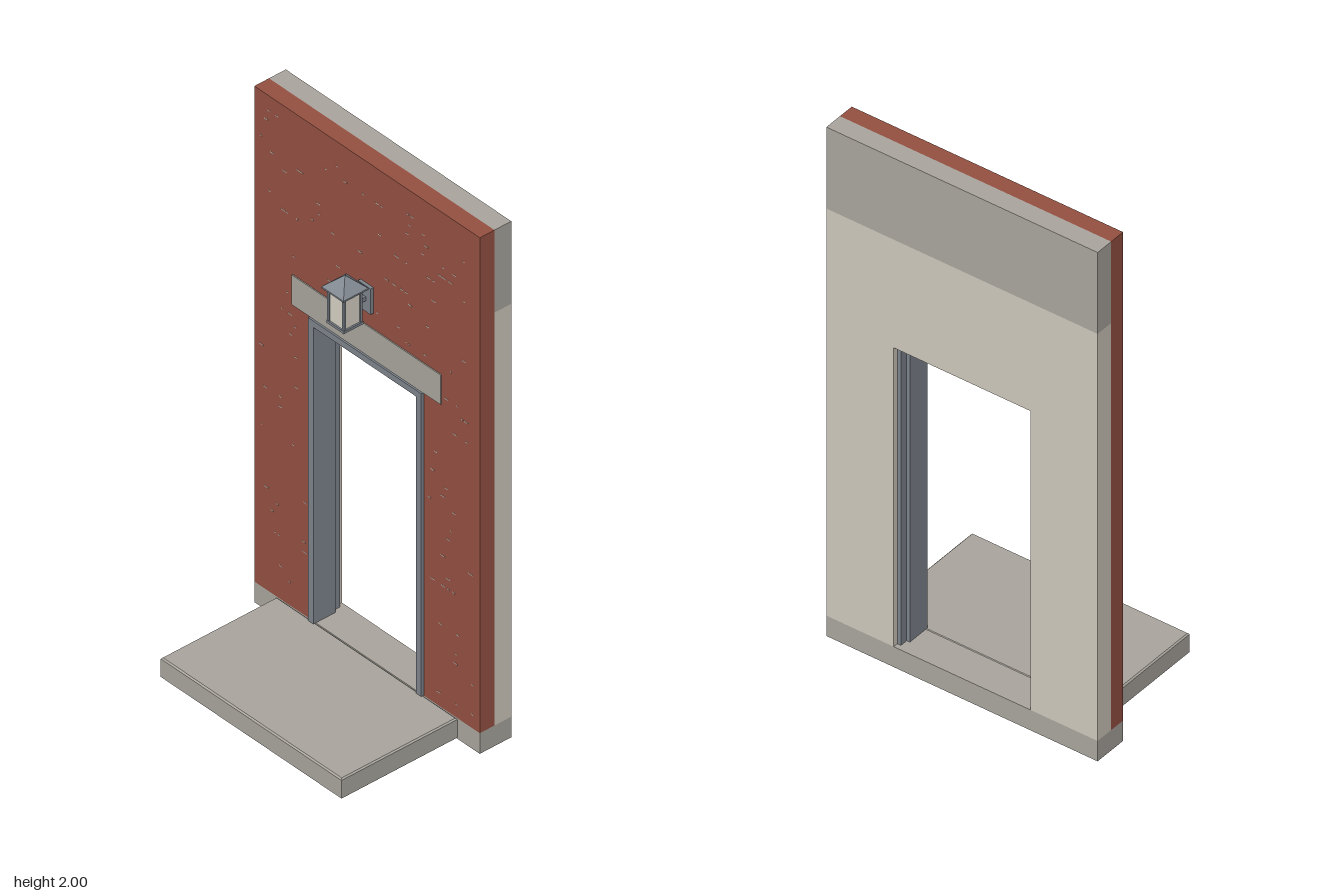
import * as THREE from 'three';
import { mergeGeometries } from 'three/addons/utils/BufferGeometryUtils.js';

const material = (name, color) => {
  const m = new THREE.MeshStandardMaterial({ color });
  m.name = name;
  return m;
};

export function createModel() {
  const brick = material('brick red', 0x955142);
  const mortar = material('mortar', 0xb9aea2);
  const concrete = material('concrete grey', 0xaaa69f);
  const plaster = material('warm plaster', 0xcfc9bd);
  const metal = material('painted metal', 0x7f868e);
  const glass = material('frosted glass', 0xd8d3c6);

  const model = new THREE.Group();
  model.name = 'entranceWall';

  const add = (name, geometry, mat, parent = model) => {
    const mesh = new THREE.Mesh(geometry, mat);
    mesh.name = name;
    parent.add(mesh);
    return mesh;
  };
  // Box given by its minimum and maximum along each axis
  const boxGeo = (x0, x1, y0, y1, z0, z1) =>
    new THREE.BoxGeometry(x1 - x0, y1 - y0, z1 - z0)
      .translate((x0 + x1) / 2, (y0 + y1) / 2, (z0 + z1) / 2);
  const box = (name, mat, ...b) => add(name, boxGeo(...b), mat);
  // Upside-down U around the doorway: outer half width and top, inner half width and top
  const archGeo = (ow, ot, iw, it, z0, z1) => {
    const y0 = 0.08;
    const shape = new THREE.Shape([
      [-ow, y0], [-iw, y0], [-iw, it], [iw, it], [iw, y0], [ow, y0], [ow, ot], [-ow, ot],
    ].map(([x, y]) => new THREE.Vector2(x, y)));
    return new THREE.ExtrudeGeometry(shape, { depth: z1 - z0, bevelEnabled: false })
      .translate(0, 0, z0);
  };

  const W = 0.53, back = -0.307, mid = -0.237, front = -0.176;
  const doorW = 0.267, doorTop = 1.255;

  // Wall layers
  box('foundation', concrete, -W, W, 0, 0.08, back, front);
  add('brickWall', archGeo(W, 2, doorW, doorTop, mid, front), brick);
  add('innerWall', archGeo(W, 1.68, doorW, doorTop, back, mid), plaster);
  box('ringBeam', concrete, -W, W, 1.68, 2, back, mid);
  box('lintel', concrete, -0.35, 0.35, doorTop, 1.37, front - 0.02, front + 0.004);

  // Sparse mortar flecks along the brick courses
  let seed = 7;
  const rand = () => (seed = (seed * 16807) % 2147483647) / 2147483647;
  const flecks = [];
  for (let i = 0; i < 190; i++) {
    const y = 0.13 + Math.floor(rand() * 48) * 0.0385;
    const x = (rand() * 2 - 1) * 0.5;
    const w = 0.006 + rand() * 0.014;
    if (y < 1.39 && Math.abs(x) < (y > 1.24 ? 0.37 : 0.285)) continue;
    flecks.push(boxGeo(x - w / 2, x + w / 2, y, y + 0.004, front - 0.001, front + 0.0006));
  }
  add('mortarFlecks', mergeGeometries(flecks), mortar);

  // Door frame with a rebate towards the inside
  add('doorFrame', archGeo(doorW - 0.001, doorTop - 0.001, 0.241, 1.23, -0.258, -0.166), metal);
  add('doorFrameRebate', archGeo(doorW - 0.001, doorTop - 0.001, 0.253, 1.242, -0.288, -0.258), metal);

  // Doorstep with a small chamfer
  const c = 0.005;
  const sw = 0.425 - c, sz0 = front + c, sz1 = 0.306 - c;
  const slab = new THREE.Shape([
    new THREE.Vector2(-sw, -sz1), new THREE.Vector2(sw, -sz1),
    new THREE.Vector2(sw, -sz0), new THREE.Vector2(-sw, -sz0),
  ]);
  const step = new THREE.ExtrudeGeometry(slab, {
    depth: 0.08 - 2 * c, bevelEnabled: true, bevelSize: c, bevelThickness: c, bevelSegments: 1,
  });
  add('doorstep', step.rotateX(-Math.PI / 2).translate(0, c, 0), concrete);

  // Wall lantern
  const lantern = new THREE.Group();
  lantern.name = 'lantern';
  lantern.position.set(0, 0, -0.084);
  model.add(lantern);
  const part = (name, mat, ...b) => add(name, boxGeo(...b), mat, lantern);
  part('wallPlate', metal, -0.03, 0.03, 1.43, 1.53, -0.092, -0.08);
  part('arm', metal, -0.008, 0.008, 1.472, 1.488, -0.08, -0.035);
  part('lanternBase', metal, -0.041, 0.041, 1.42, 1.43, -0.041, 0.041);
  part('lanternGlass', glass, -0.035, 0.035, 1.43, 1.556, -0.035, 0.035);
  for (const x of [-1, 1]) for (const z of [-1, 1]) {
    const post = add('lanternPost', new THREE.BoxGeometry(0.009, 0.126, 0.009), metal, lantern);
    post.position.set(x * 0.0345, 1.493, z * 0.0345);
  }
  part('roofEave', metal, -0.052, 0.052, 1.553, 1.559, -0.052, 0.052);
  const roof = new THREE.ConeGeometry(0.052 * Math.SQRT2, 0.047, 4, 1).toNonIndexed();
  roof.computeVertexNormals();
  add('lanternRoof', roof.rotateY(Math.PI / 4).translate(0, 1.5825, 0), metal, lantern);

  return model;
}
